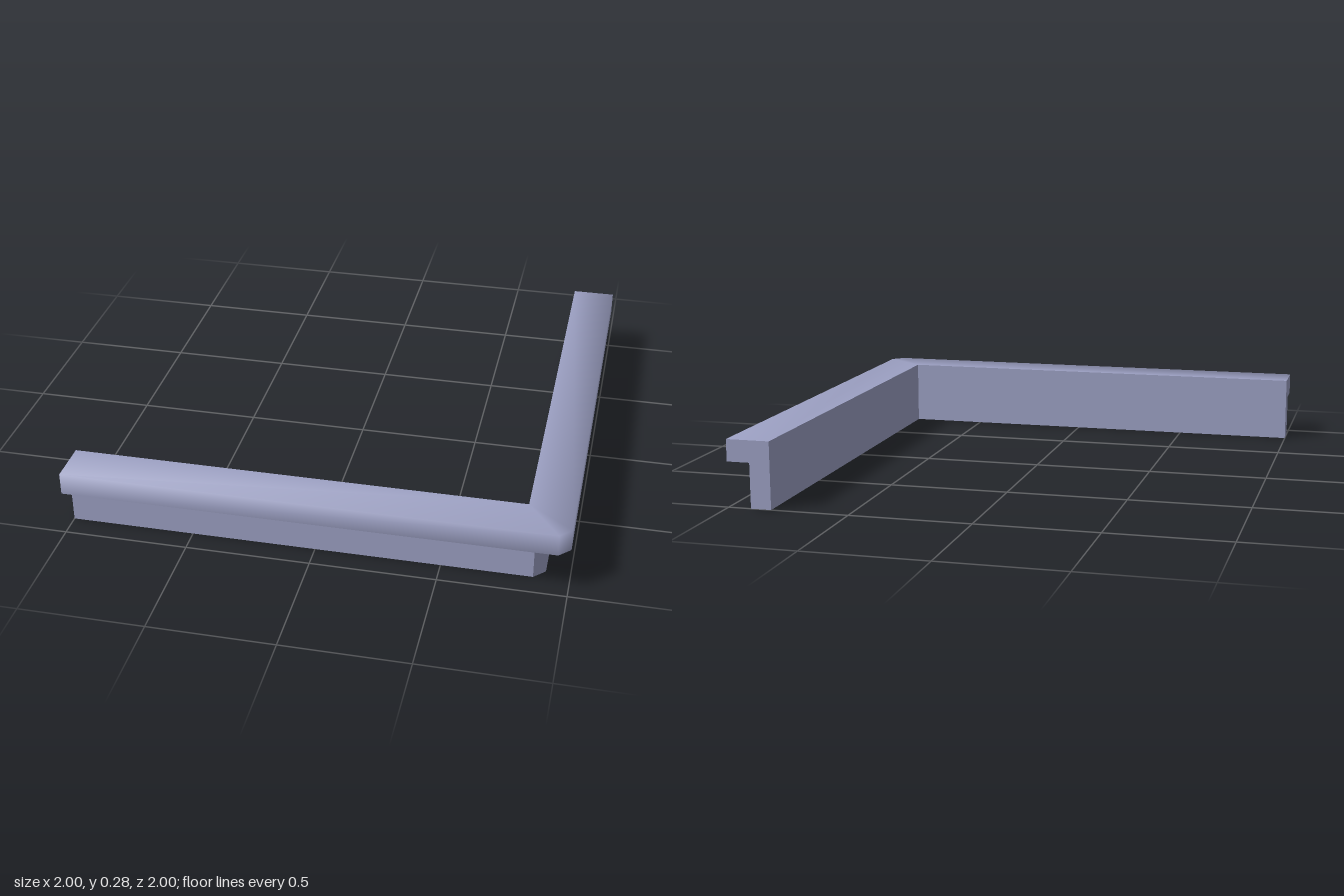
import * as THREE from 'three';

const INNER = 0.82, WALL = 0.905, RIM = 1, LEDGE = 0.185, TOP = 0.275, CUT = 0.045;

// L-shaped run at distance d from the centre, with the corner cut off at c
const run = (d, c = d - CUT) => [[-1, d], [c, d], [d, c], [d, -1]];

// Outward directions along a run, blended around the cut corner
const s = Math.sin(Math.PI / 8), k = Math.cos(Math.PI / 8);
const outward = [[0, 1], [s, k], [k, s], [1, 0]];

// Surface between two runs; tilts (0 = up, PI/2 = outward) give smooth normals
function strip(a, ya, b, yb, tilts) {
  const pos = [], nor = [], index = [];
  for (let i = 0; i < 4; i++) {
    [[a, ya], [b, yb]].forEach(([path, y], j) => {
      pos.push(path[i][0], y, path[i][1]);
      if (tilts) {
        const h = Math.sin(tilts[j]);
        nor.push(outward[i][0] * h, Math.cos(tilts[j]), outward[i][1] * h);
      }
    });
    if (i < 3) {
      const q = i * 2;
      index.push(q, q + 1, q + 2, q + 1, q + 3, q + 2);
    }
  }
  let g = new THREE.BufferGeometry();
  g.setAttribute('position', new THREE.Float32BufferAttribute(pos, 3));
  g.setIndex(index);
  if (tilts) {
    g.setAttribute('normal', new THREE.Float32BufferAttribute(nor, 3));
  } else {
    g = g.toNonIndexed();
    g.computeVertexNormals();
  }
  return g;
}

// Flat end face with the section of the moulding
function endFace(sign) {
  const section = [[INNER, 0], [WALL, 0], [WALL, LEDGE], [RIM, LEDGE], [RIM, TOP], [INNER, TOP]];
  return new THREE.ShapeGeometry(new THREE.Shape(
    section.map(([d, y]) => new THREE.Vector2(sign * d, y))));
}

export function createModel() {
  const model = new THREE.Group();
  model.name = 'cornerMoulding';
  const paint = new THREE.MeshStandardMaterial({ color: 0x9da1c4 });
  paint.name = 'lavenderGrey';

  const add = (name, geometry) => {
    const mesh = new THREE.Mesh(geometry, paint);
    mesh.name = name;
    model.add(mesh);
    return mesh;
  };

  const inner = run(INNER, INNER), wall = run(WALL), rim = run(RIM);

  // Overhanging cap, softly shaded from the top over the outer edge
  add('capTop', strip(inner, TOP, rim, TOP, [0, Math.PI / 4]));
  add('capSide', strip(rim, TOP, rim, LEDGE, [Math.PI / 4, Math.PI / 2]));
  add('capUnderside', strip(rim, LEDGE, wall, LEDGE));

  // Upright wall below the cap
  add('wallOuter', strip(wall, LEDGE, wall, 0));
  add('wallBottom', strip(wall, 0, inner, 0));
  add('wallInner', strip(inner, 0, inner, TOP));

  // Ends of the two arms
  const right = add('rightEnd', endFace(1));
  right.rotation.y = -Math.PI / 2;
  right.position.x = -1;
  const back = add('backEnd', endFace(-1));
  back.rotation.y = Math.PI;
  back.position.z = -1;

  return model;
}
